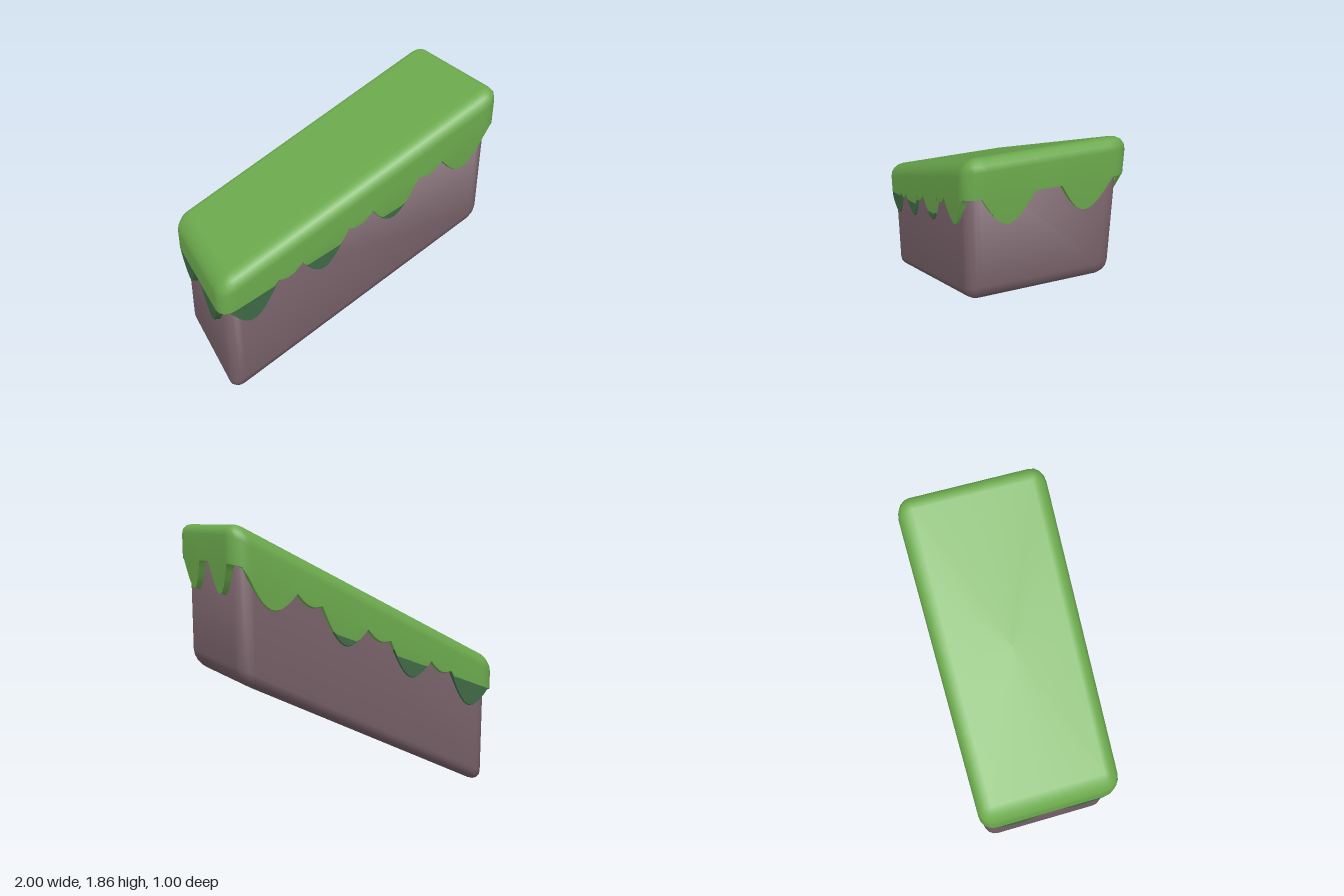
import * as THREE from 'three';
import { mergeVertices } from 'three/addons/utils/BufferGeometryUtils.js';

const SLOPE = 0.5; // everything is sheared upward along x

// Points around a rounded rectangle: inner corner-rectangle position (x, z) and outward normal (nx, nz)
function ring(hx, hz, xs, zs, seg = 4) {
  const pts = [];
  const corner = (x, z, a0) => {
    for (let i = 0; i <= seg; i++) {
      const a = a0 - (i / seg) * Math.PI / 2;
      pts.push({ x, z, nx: Math.cos(a), nz: Math.sin(a) });
    }
  };
  const inX = xs.filter(x => Math.abs(x) < hx - 0.01);
  const inZ = zs.filter(z => Math.abs(z) < hz - 0.01);
  inX.forEach(x => pts.push({ x, z: hz, nx: 0, nz: 1 }));
  corner(hx, hz, Math.PI / 2);
  [...inZ].reverse().forEach(z => pts.push({ x: hx, z, nx: 1, nz: 0 }));
  corner(hx, -hz, 0);
  [...inX].reverse().forEach(x => pts.push({ x, z: -hz, nx: 0, nz: -1 }));
  corner(-hx, -hz, -Math.PI / 2);
  inZ.forEach(z => pts.push({ x: -hx, z, nx: -1, nz: 0 }));
  corner(-hx, hz, Math.PI);
  return pts;
}

// Sheared point: v is the height before shearing
function place(p, rx, rz, v) {
  const x = p.x + p.nx * rx;
  return [x, v + SLOPE * x, p.z + p.nz * rz];
}

// Skin over rows listed from top to bottom, with optional flat ends
function skin(rows, { top, bottom, keep = () => true } = {}) {
  const n = rows[0].length, pos = rows.flat(2), index = [];
  for (let r = 0; r < rows.length - 1; r++) {
    for (let i = 0; i < n; i++) {
      const j = (i + 1) % n;
      if (!keep(i, j)) continue;
      const a = r * n + i, b = r * n + j;
      index.push(a, a + n, b + n, a, b + n, b);
    }
  }
  const close = (start, v, up) => {
    const c = pos.length / 3;
    pos.push(0, v, 0);
    for (let i = 0; i < n; i++) {
      const a = start + i, b = start + (i + 1) % n;
      index.push(c, up ? a : b, up ? b : a);
    }
  };
  if (top !== undefined) close(0, top, true);
  if (bottom !== undefined) close((rows.length - 1) * n, bottom, false);
  let g = new THREE.BufferGeometry();
  g.setAttribute('position', new THREE.Float32BufferAttribute(pos, 3));
  g.setIndex(index);
  g = mergeVertices(g, 1e-5);
  g.computeVertexNormals();
  return g;
}

// Drips hang between neighbouring peaks
const SIDE = { peaks: [-0.93, -0.6, -0.43, -0.1, 0.075, 0.41, 0.58, 0.93], depths: [0.175, 0.037] };
const END = { peaks: [-0.4, -0.08, 0.08, 0.4], depths: [0.185, 0] };

function drip({ peaks, depths }, s) {
  for (let i = 0; i < peaks.length - 1; i++) {
    const u = (s - peaks[i]) / (peaks[i + 1] - peaks[i]);
    if (u >= 0 && u <= 1) return depths[i % 2] * Math.sin(Math.PI * u);
  }
  return 0;
}

function samples({ peaks }, n = 12) {
  const out = [];
  for (let i = 0; i < peaks.length - 1; i++)
    for (let k = 0; k < n; k++) out.push(peaks[i] + (peaks[i + 1] - peaks[i]) * k / n);
  return out;
}

export function createModel() {
  const mat = (name, color) => new THREE.MeshStandardMaterial({ name, color });
  const grass = mat('grass green', 0x6caa4d);
  const shade = mat('deep green', 0x416e48);
  const earth = mat('earth brown', 0x735e65);
  const group = new THREE.Group();
  group.name = 'grassSlopeBlock';
  const add = (name, geometry, material) => {
    const m = new THREE.Mesh(geometry, material);
    m.name = name;
    group.add(m);
  };
  const arc = [0, 1, 2, 3, 4].map(i => i * Math.PI / 8);

  // Earth block with rounded lower edges
  const R = 0.09;
  const bodyRing = ring(0.86, 0.385, [], []);
  const bodyRows = [bodyRing.map(p => place(p, R, R, 1.3))];
  arc.forEach(t => bodyRows.push(bodyRing.map(p =>
    place(p, R * Math.cos(t), R * Math.cos(t), 0.44 + R * (1 - Math.sin(t))))));
  add('earthBlock', skin(bodyRows, { top: 1.3, bottom: 0.44 }), earth);

  // Grass cap outline, with the drip height and colour boundary for each column
  const C = 0.1;
  const cap = ring(0.9, 0.4, samples(SIDE), samples(END));
  cap.forEach(p => {
    const x = p.x + p.nx * C, z = p.z + p.nz * C;
    const depth = Math.abs(p.nz) > 0.5 ? drip(SIDE, x) : drip(END, z);
    p.low = 1.155 - 0.02 * p.nx - depth;
    p.split = 1.057 - 0.114 * x;
    p.mid = Math.max(p.low, p.split);
  });
  const wall = (p, v) => {
    const r = C - 0.08 * Math.max(0, 1.15 - v);
    return place(p, r, r, v);
  };

  // Rounded top and upper wall
  const capRows = [...arc].reverse().map(t => cap.map(p =>
    place(p, C * Math.cos(t), C * Math.cos(t), 1.3 + C * Math.sin(t))));
  capRows.push(cap.map(p => wall(p, Math.max(p.mid, 1.15))));
  const midRow = cap.map(p => wall(p, p.mid));
  const lowRow = cap.map(p => wall(p, p.low));
  capRows.push(midRow);
  add('grassCap', skin(capRows, { top: 1.4 }), grass);

  // Darker drip tips
  const isDark = (i, j) => cap[i].low < cap[i].split - 1e-4 || cap[j].low < cap[j].split - 1e-4;
  add('dripTips', skin([midRow, lowRow], { keep: isDark }), shade);

  // Underside lip joining the drips to the earth
  const lipRow = cap.map((p, i) => {
    const q = place(p, 0.035, 0.065, 0);
    q[1] = lowRow[i][1] - 0.012;
    return q;
  });
  add('dripLipLight', skin([lowRow, lipRow], { keep: (i, j) => !isDark(i, j) }), grass);
  add('dripLipDark', skin([lowRow, lipRow], { keep: isDark }), shade);

  return group;
}
